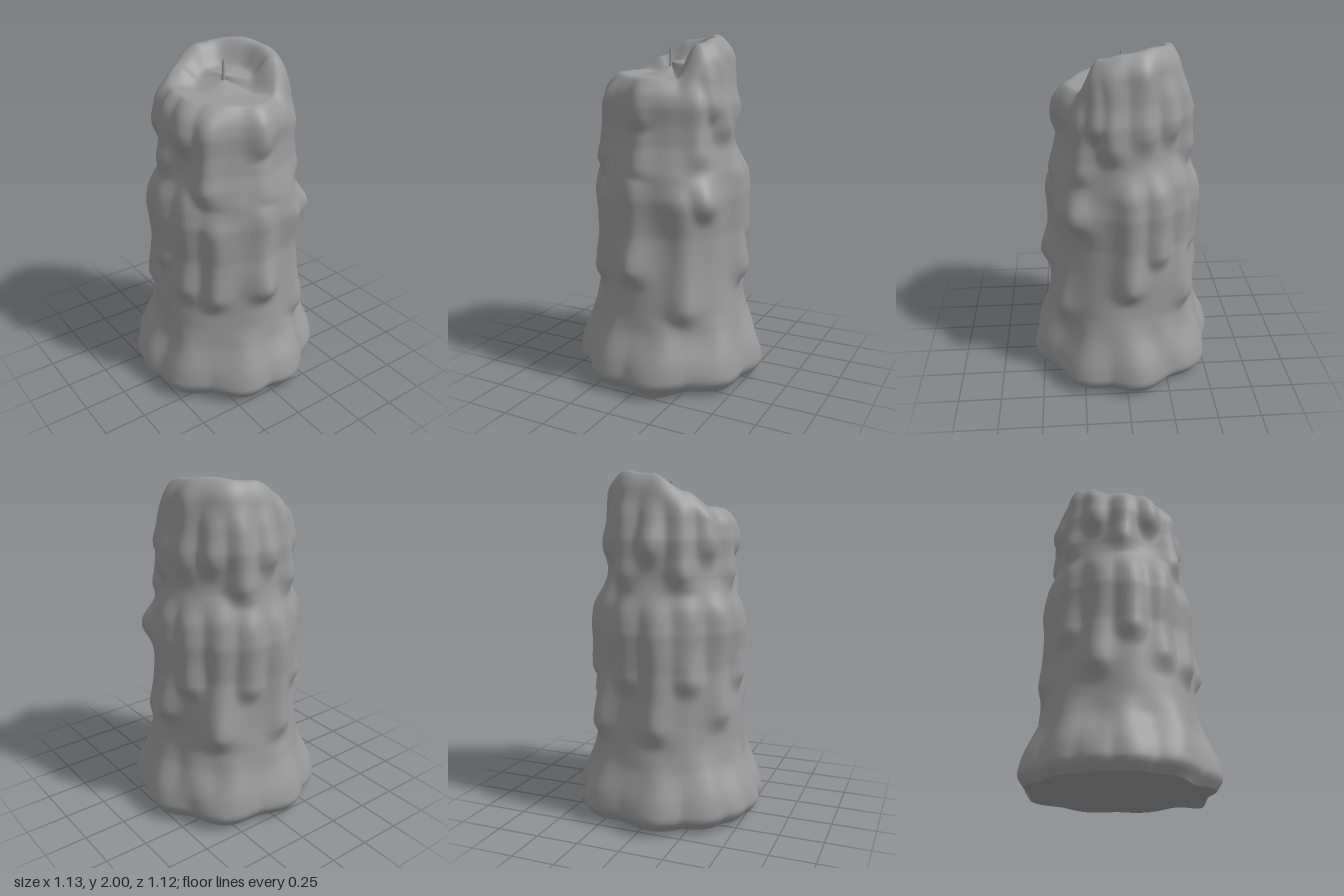
import * as THREE from 'three';

const N = 144; // columns around the candle
const RAD = Math.PI / 180;

// Angles: 0 = front, 90 = the model's left (+x), 180 = back, 270 = right (-x)
const rimHeight = [[0, 1.77], [32, 1.76], [60, 1.95], [90, 1.98], [125, 2], [180, 1.975], [220, 1.88],
  [245, 1.8], [360, 1.77]];
// Wax column: height, radius
const column = [[0, 0.475], [0.2, 0.47], [0.4, 0.45], [0.6, 0.43], [0.9, 0.408], [1.11, 0.422], [1.25, 0.405],
  [1.4, 0.368], [1.52, 0.36], [1.62, 0.366], [1.72, 0.348], [1.85, 0.335], [2, 0.325]];
// Angles of the lobes round the foot
const lobes = [13, 60, 98, 143, 192, 225, 246, 265, 292, 339];

// Main drips: angle, bottom, top, thickness
const drips = [
  [-3, 1.48, 1.78, 0.04], [-1, 1.2, 1.5, 0.03], [-4, 0.64, 1.25, 0.06], [-42, 0.6, 1.15, 0.05],
  [-50, 1.25, 1.74, 0.045], [36, 0.42, 1.15, 0.045], [51, 1, 1.22, 0.06], [50, 1.28, 1.7, 0.045],
  [65, 1.52, 1.85, 0.04], [77, 1.43, 1.9, 0.04], [93, 0.6, 1.3, 0.06], [108, 1.48, 1.95, 0.04],
  [116, 0.8, 1.3, 0.05], [140, 0.5, 1.35, 0.05],
];
// Alternating long and short drips across the back and right side
for (let i = 0; i < 7; i++) {
  const angle = 132 + 26 * i, odd = i % 2;
  drips.push([angle, odd ? 1.36 : 1.5, 1.82, odd ? 0.05 : 0.04]);
  if (i > 0) drips.push([angle + 6, odd ? 0.78 : 0.45 + 0.03 * i, 1.28, 0.045]);
}
// Low runs settling into the foot
for (const angle of [-62, -18, 22, 62, 95, 122, 150, 192, 228, 262]) drips.push([angle, 0.1, 0.4, 0.035]);

const ease = t => t * t * (3 - 2 * t);
const smooth = (a, b, x) => ease(THREE.MathUtils.clamp((x - a) / (b - a), 0, 1));
const bell = (x, width) => Math.exp(-((x / width) ** 2));
const turn = (a, b) => ((a - b + 900) % 360) - 180; // signed angle between directions

function sample(table, x, curve = t => t) {
  const i = Math.max(1, table.findIndex(p => x <= p[0]));
  const [x0, y0] = table[i - 1], [x1, y1] = table[i];
  return y0 + (y1 - y0) * curve((x - x0) / (x1 - x0));
}
const rimAt = deg => sample(rimHeight, deg, ease);

// Radius of the outer wax surface
function waxRadius(deg, y) {
  let bulge = 0;
  for (const [angle, bottom, end, thick] of drips) {
    const bulb = 0.75 + 0.35 * bell(y - bottom - 0.09, 0.11);
    const along = smooth(bottom - 0.06, bottom + 0.08, y) * (1 - smooth(end - 0.1, end + 0.08, y));
    bulge = Math.max(bulge, thick * bulb * along * bell(turn(deg, angle), 10.5));
  }
  const a = deg * RAD;
  let r = sample(column, y) + bulge + 0.006 * Math.sin(5 * a + 4 * y)
    + 0.005 * Math.sin(8 * a - 7 * y) + 0.004 * Math.sin(3 * a + 11 * y);
  // flared, lobed foot, tucked in at its lower edge
  const foot = 0.51 + 0.06 * Math.max(...lobes.map(l => bell(turn(deg, l), 17)));
  r += (foot - r) * (1 - smooth(0.08, 0.37, y));
  r -= 0.05 * (1 - smooth(0, 0.1, y));
  // rounded lip
  const lip = Math.max(0, 1 - (rimAt(deg) - y) / 0.11);
  return r * (1 - 0.14 * lip * lip);
}

// Lower edge, with two sagging spots
const underEdge = deg => 0.03 - 0.03 * bell(turn(deg, 13), 12) - 0.015 * bell(turn(deg, 305), 15);

// Closed loops of points joined into one smooth skin
function skin(rows, pointAt) {
  const pos = [], index = [];
  for (let j = 0; j < rows; j++) {
    for (let i = 0; i < N; i++) {
      const deg = i * 360 / N, [r, y] = pointAt(deg, j);
      pos.push(r * Math.sin(deg * RAD), y, r * Math.cos(deg * RAD));
    }
  }
  for (let j = 0; j < rows - 1; j++) {
    for (let i = 0; i < N; i++) {
      const k = (i + 1) % N, a = j * N + i, b = j * N + k, c = a + N, d = b + N;
      index.push(a, b, d, a, d, c);
    }
  }
  const g = new THREE.BufferGeometry();
  g.setAttribute('position', new THREE.Float32BufferAttribute(pos, 3));
  g.setIndex(index);
  g.computeVertexNormals();
  return g;
}

export function createModel() {
  const group = new THREE.Group();
  const wax = new THREE.MeshStandardMaterial({ color: 0x999999 });
  wax.name = 'grey wax';
  const add = (name, geometry) => {
    const mesh = new THREE.Mesh(geometry, wax);
    mesh.name = name;
    group.add(mesh);
    return mesh;
  };

  // Dripping outside, then over the lip into the melted pool
  const sides = 90, poolRows = 20;
  add('waxBody', skin(sides + 1 + poolRows, (deg, j) => {
    const top = rimAt(deg), low = underEdge(deg);
    if (j <= sides) {
      const y = low + (top - 0.008 - low) * j / sides;
      return [waxRadius(deg, y), y];
    }
    // the pool tilts with the rim, evens out to a round shape and rises gently to the wick
    const share = Math.max(0.002, 0.97 * (1 - (j - sides - 1) / (poolRows - 1)));
    const r = THREE.MathUtils.lerp(waxRadius(deg, top), 0.29, 1 - share);
    const trough = 1.81 + 0.4 * (top - 1.87);
    const floor = THREE.MathUtils.lerp(1.85, trough, smooth(-0.3, 0.6, share));
    return [r * share, THREE.MathUtils.lerp(floor, top, smooth(0.48, 0.88, share))];
  }));

  // Flat underside
  const shares = [0.002, 0.5, 0.88, 0.96, 1];
  add('underside', skin(shares.length, (deg, j) => {
    const low = underEdge(deg);
    return [waxRadius(deg, low) * shares[j], j < 3 ? 0.03 : low];
  }));

  // Wick
  const wick = add('wick', new THREE.CylinderGeometry(0.006, 0.011, 0.13, 8));
  wick.position.set(-0.007, 1.877, 0);
  return group;
}
